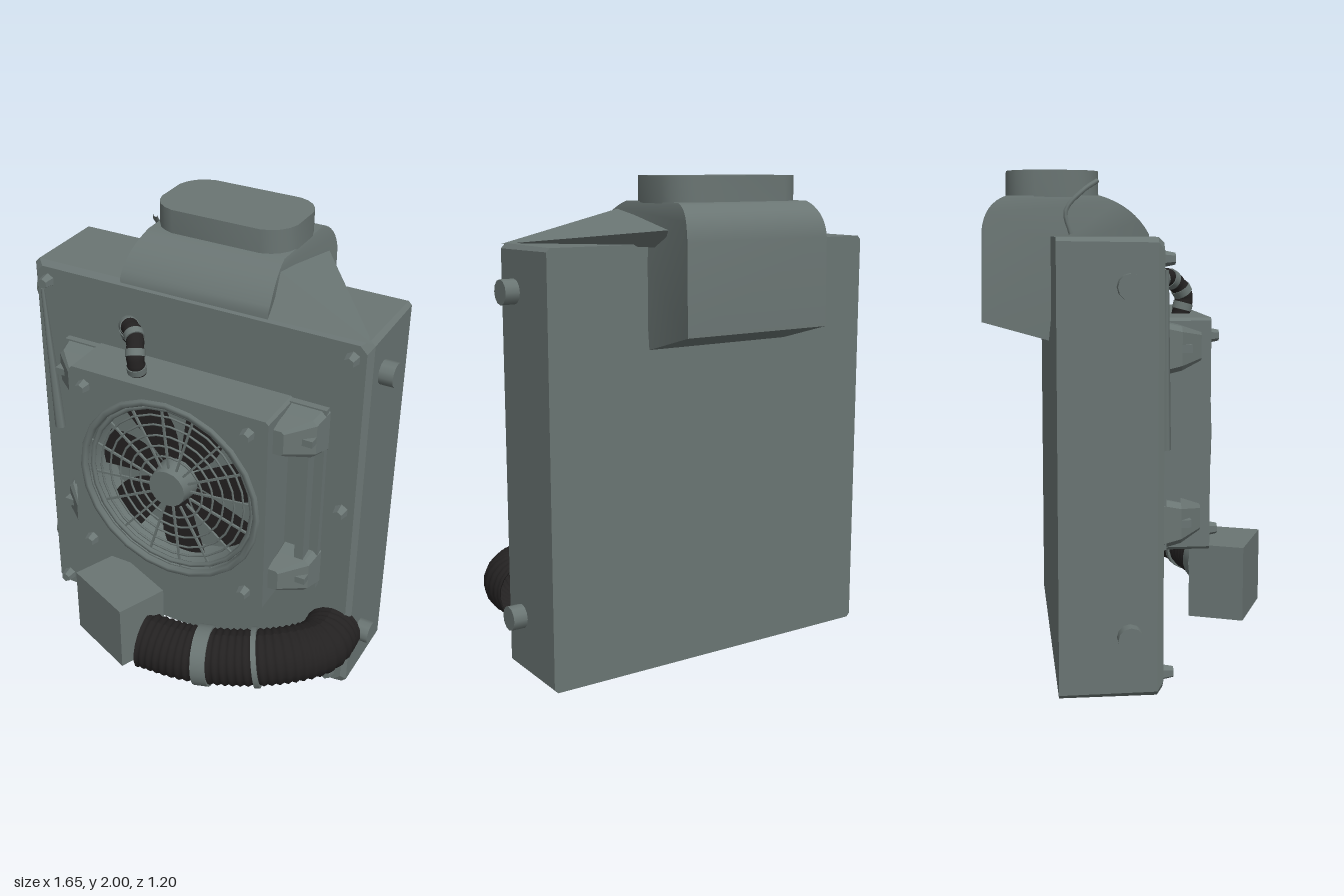
import * as THREE from 'three';
import { ConvexGeometry } from 'three/addons/geometries/ConvexGeometry.js';
import { toCreasedNormals } from 'three/addons/utils/BufferGeometryUtils.js';

const V = (x, y, z) => new THREE.Vector3(x, y, z);

export function createModel() {
  const root = new THREE.Group();
  const metal = new THREE.MeshStandardMaterial({ color: 0x6a7573 });
  metal.name = 'grey metal';
  const rubber = new THREE.MeshStandardMaterial({ color: 0x232121, side: THREE.DoubleSide });
  rubber.name = 'black rubber';

  const add = (name, geo, mat = metal, x = 0, y = 0, z = 0, parent = root) => {
    const m = new THREE.Mesh(geo, mat);
    m.name = name;
    m.position.set(x, y, z);
    parent.add(m);
    return m;
  };
  // box given by its minimum and maximum corners
  const box = (name, a, b) => add(name, new THREE.BoxGeometry(b[0] - a[0], b[1] - a[1], b[2] - a[2]), metal,
    (a[0] + b[0]) / 2, (a[1] + b[1]) / 2, (a[2] + b[2]) / 2);
  const hull = (points) => new ConvexGeometry(points.map((p) => V(...p)));
  // rectangle with cut corners
  const cutRect = (x0, x1, y0, y1, c) => [[x0 + c, y0], [x1 - c, y0], [x1, y0 + c], [x1, y1 - c],
    [x1 - c, y1], [x0 + c, y1], [x0, y1 - c], [x0, y0 + c]];

  // Cabinet with a chamfered front
  add('cabinet', hull([
    ...cutRect(-0.77, 0.765, 0, 1.74, 0.015).map(([x, y]) => [x, y, -0.33]),
    ...cutRect(-0.775, 0.765, 0, 1.74, 0.02).map(([x, y]) => [x, y, 0.045]),
    ...cutRect(-0.755, 0.745, 0.02, 1.72, 0.03).map(([x, y]) => [x, y, 0.07]),
  ]));

  // Elbow duct: side profile swept across the cabinet
  const profile = new THREE.Shape();
  profile.moveTo(0.06, 1.7);
  profile.lineTo(0.06, 1.75);
  profile.quadraticCurveTo(0, 1.86, -0.13, 1.9);
  profile.lineTo(-0.5, 1.9);
  profile.quadraticCurveTo(-0.59, 1.87, -0.6, 1.76);
  profile.lineTo(-0.605, 1.405);
  profile.lineTo(-0.34, 1.33);
  profile.lineTo(-0.3, 1.7);
  const elbowGeo = new THREE.ExtrudeGeometry(profile, { depth: 0.67, bevelEnabled: false, curveSegments: 8 });
  elbowGeo.rotateY(-Math.PI / 2); // (z, y, depth) becomes (-depth, y, z)
  elbowGeo.translate(0.325, 0, 0);
  // narrow the shoulders towards the neck
  const ep = elbowGeo.attributes.position;
  for (let i = 0; i < ep.count; i++) {
    const t = Math.max(0, (ep.getY(i) - 1.76) / 0.14);
    ep.setX(i, -0.01 + (ep.getX(i) + 0.01) * (1 - 0.08 * t * t));
  }
  add('elbowDuct', toCreasedNormals(elbowGeo, 0.6));

  // Neck with rounded corners
  const neckShape = new THREE.Shape();
  const [nx0, nx1, nz0, nz1, r] = [-0.32, 0.3, 0.13, 0.5, 0.11];
  neckShape.moveTo(nx0 + r, nz0);
  neckShape.lineTo(nx1 - r, nz0);
  neckShape.quadraticCurveTo(nx1 - 0.02, nz0 + 0.02, nx1, nz0 + r);
  neckShape.lineTo(nx1, nz1 - r);
  neckShape.quadraticCurveTo(nx1 - 0.02, nz1 - 0.02, nx1 - r, nz1);
  neckShape.lineTo(nx0 + r, nz1);
  neckShape.quadraticCurveTo(nx0 + 0.02, nz1 - 0.02, nx0, nz1 - r);
  neckShape.lineTo(nx0, nz0 + r);
  neckShape.quadraticCurveTo(nx0 + 0.02, nz0 + 0.02, nx0 + r, nz0);
  const neckGeo = new THREE.ExtrudeGeometry(neckShape, { depth: 0.14, bevelEnabled: false, curveSegments: 4 });
  neckGeo.rotateX(-Math.PI / 2);
  add('ductNeck', toCreasedNormals(neckGeo, 0.7), metal, 0, 1.86, 0);

  // Sloping gusset beside the duct
  add('ductGusset', hull([[0.3, 1.87, -0.08], [0.76, 1.735, 0.06], [0.335, 1.8, -0.49],
    [0.3, 1.73, 0.06], [0.3, 1.73, -0.4]]));

  // Side knobs
  for (const s of [-1, 1]) for (const y of [1.56, 0.24]) {
    const k = add('sideKnob', new THREE.CylinderGeometry(0.05, 0.05, 0.08, 12), metal, s * 0.785, y, -0.06);
    k.rotation.z = Math.PI / 2;
  }

  // Hexagonal bolts
  const bolt = (x, y, z) => {
    const b = add('bolt', toCreasedNormals(new THREE.CylinderGeometry(0.022, 0.032, 0.05, 6), 0.5), metal, x, y, z);
    b.rotation.x = Math.PI / 2;
  };
  for (const x of [-0.7, 0.69]) for (const y of [0.07, 1.66]) bolt(x, y, 0.09);
  bolt(0.69, 0.95, 0.09);
  for (const x of [-0.39, 0.37]) for (const y of [0.56, 1.35]) bolt(x, y, 0.31);

  // Fan housing with a round opening
  const frame = new THREE.Shape(cutRect(-0.46, 0.455, 0.49, 1.425, 0.012).map(([x, y]) => new THREE.Vector2(x, y)));
  const hole = new THREE.Path();
  hole.absarc(0, 0.95, 0.42, 0, Math.PI * 2, true);
  frame.holes.push(hole);
  add('fanHousing', toCreasedNormals(new THREE.ExtrudeGeometry(frame,
    { depth: 0.23, bevelEnabled: false, curveSegments: 20 }), 0.5), metal, 0, 0, 0.065);

  // Side rails and brackets
  for (const s of [-1, 1]) {
    const pair = (name, x0, x1, y0, y1, z1) =>
      box(name, [Math.min(s * x0, s * x1), y0, 0.06], [Math.max(s * x0, s * x1), y1, z1]);
    pair('sidePlate', 0.44, 0.61, 0.53, 1.42, 0.1);
    pair('sideRail', 0.53, 0.57, 0.62, 1.34, 0.16);
    for (const [y0, y1] of [[0.55, 0.71], [1.23, 1.4]]) {
      add('bracket', hull([
        ...cutRect(0.44, 0.615, y0 - 0.02, y1 + 0.02, 0.02).map(([x, y]) => [s * x, y, 0.07]),
        ...cutRect(0.44, 0.6, y0, y1, 0.02).map(([x, y]) => [s * x, y, 0.16]),
        ...cutRect(0.44, 0.5, y0 + 0.03, y1 - 0.03, 0.01).map(([x, y]) => [s * x, y, 0.25]),
      ]));
      pair('bracketRib', 0.45, 0.6, (y0 + y1) / 2 - 0.015, (y0 + y1) / 2 + 0.015, 0.2);
    }
  }

  // Fan: blades, hub and wire guard
  const fan = new THREE.Group();
  fan.name = 'fan';
  fan.position.set(0, 0.95, 0);
  root.add(fan);
  const blade = new THREE.Shape();
  blade.moveTo(0.08, -0.03);
  blade.quadraticCurveTo(0.22, -0.12, 0.36, -0.06);
  blade.quadraticCurveTo(0.4, 0.04, 0.35, 0.13);
  blade.quadraticCurveTo(0.2, 0.08, 0.08, 0.04);
  for (let i = 0; i < 7; i++) {
    const b = add('fanBlade', new THREE.ShapeGeometry(blade, 5), rubber, 0, 0, 0.19, fan);
    b.rotation.set(0, 0, i * Math.PI * 2 / 7 + 0.2);
  }
  const hub = add('fanHub', toCreasedNormals(new THREE.CylinderGeometry(0.085, 0.1, 0.12, 16), 0.5), metal, -0.01, 0, 0.225, fan);
  hub.rotation.x = Math.PI / 2;
  const ring = (name, radius, tube, z) =>
    add(name, new THREE.TorusGeometry(radius, tube, 6, 24), metal, 0, 0, z, fan);
  ring('openingRim', 0.415, 0.018, 0.29);
  ring('innerRim', 0.385, 0.012, 0.27);
  for (const rad of [0.15, 0.2, 0.25, 0.3, 0.345]) ring('guardRing', rad, 0.005, 0.265);
  for (let i = 0; i < 16; i++) {
    const a = i * Math.PI / 8 + 0.1;
    const w = add('guardSpoke', new THREE.BoxGeometry(0.31, 0.009, 0.009), metal,
      Math.cos(a) * 0.25, Math.sin(a) * 0.25, 0.265, fan);
    w.rotation.z = a;
  }

  // Ribbed hose: tube whose radius rises and falls along the path
  const hose = (name, points, radius, ribs, mat) => {
    const curve = new THREE.CatmullRomCurve3(points.map((p) => V(...p)));
    const steps = ribs * 4, sides = 18;
    const geo = new THREE.TubeGeometry(curve, steps, radius, sides);
    const p = geo.attributes.position, v = V(0, 0, 0);
    for (let i = 0; i <= steps; i++) {
      const c = curve.getPointAt(i / steps);
      const k = 1 + 0.035 * Math.cos(i * Math.PI / 2);
      for (let j = 0; j <= sides; j++) {
        const n = i * (sides + 1) + j;
        v.fromBufferAttribute(p, n).sub(c).multiplyScalar(k).add(c);
        p.setXYZ(n, v.x, v.y, v.z);
      }
    }
    geo.computeVertexNormals();
    add(name, geo, mat);
    return curve;
  };
  // short sleeve around a hose
  const band = (name, curve, t, radius, width) => {
    const m = add(name, new THREE.CylinderGeometry(radius, radius, width, 24), metal);
    m.position.copy(curve.getPointAt(t));
    m.quaternion.setFromUnitVectors(V(0, 1, 0), curve.getTangentAt(t));
  };
  const main = hose('mainHose', [[-0.02, 0.255, 0.475], [0.18, 0.25, 0.45], [0.4, 0.27, 0.39],
    [0.58, 0.295, 0.3], [0.685, 0.3, 0.18], [0.69, 0.3, 0.04]], 0.12, 30, rubber);
  band('wideHoseBand', main, 0.3, 0.132, 0.065);
  band('narrowHoseBand', main, 0.54, 0.132, 0.022);
  const end = add('hoseEnd', new THREE.CircleGeometry(0.12, 18), rubber);
  end.position.copy(main.getPointAt(0));
  end.quaternion.setFromUnitVectors(V(0, 0, -1), main.getTangentAt(0));

  const small = hose('smallHose', [[-0.18, 1.41, 0.21], [-0.18, 1.5, 0.225], [-0.215, 1.565, 0.17],
    [-0.28, 1.57, 0.11], [-0.31, 1.49, 0.05]], 0.037, 12, rubber);
  for (const t of [0.12, 0.3, 0.5, 0.7, 0.9]) band('smallHoseBand', small, t, 0.041, 0.03);

  // Turned outlet box
  const outlet = add('outletBox', new THREE.BoxGeometry(0.335, 0.31, 0.23), metal, -0.185, 0.315, 0.41);
  outlet.rotation.y = -0.4;

  // Cable beside the neck and rod on the front
  const cable = new THREE.CatmullRomCurve3([V(-0.29, 1.96, -0.14), V(-0.33, 1.92, -0.2), V(-0.35, 1.84, -0.27), V(-0.35, 1.75, -0.25)]);
  add('cable', new THREE.TubeGeometry(cable, 12, 0.01, 6));
  const rod = add('frontRod', new THREE.CylinderGeometry(0.008, 0.025, 0.68, 6), metal, -0.705, 1.28, 0.08);
  rod.rotation.z = 0.06;
  return root;
}
